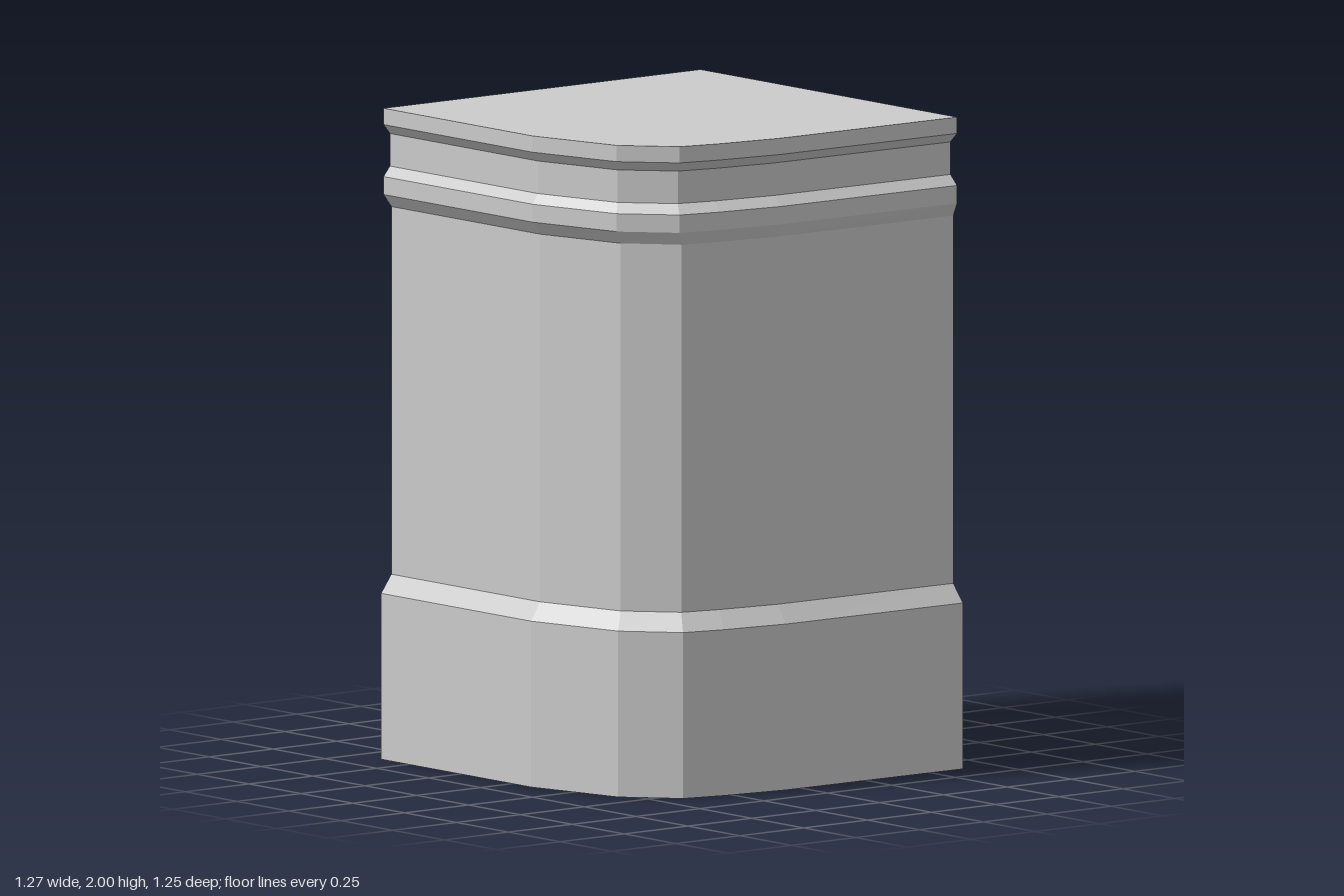
import * as THREE from 'three';

const LEFT = -0.633, BACK = -0.625;
// Footprint: two straight walls plus a faceted rounded corner, counter-clockwise from above
const FOOTPRINT = [
  [LEFT, BACK], [LEFT, 0.625], [0.09, 0.625], [0.412, 0.546],
  [0.56, 0.412], [0.592, 0.28], [0.623, 0.06], [0.632, BACK],
];

// A ring of the footprint at height y; only the moulded sides shrink, the cut sides stay flush
const ring = ([y, sx, sz]) => FOOTPRINT.map(([x, z]) => [
  x === LEFT ? x : x * sx, y, z === BACK ? z : z * sz,
]);

// Skin the rings given by [height, x scale, z scale], with optional end faces
function loft(name, material, levels, { bottom = false, top = false } = {}) {
  const n = FOOTPRINT.length;
  const index = [];
  for (let l = 0; l < levels.length - 1; l++) {
    for (let i = 0; i < n; i++) {
      const a = l * n + i, b = l * n + (i + 1) % n;
      index.push(a, b, b + n, a, b + n, a + n);
    }
  }
  const last = (levels.length - 1) * n;
  for (let i = 1; i < n - 1; i++) {
    if (bottom) index.push(0, i + 1, i);
    if (top) index.push(last, last + i, last + i + 1);
  }
  const indexed = new THREE.BufferGeometry();
  indexed.setAttribute('position', new THREE.Float32BufferAttribute(levels.flatMap(ring).flat(), 3));
  indexed.setIndex(index);
  const geometry = indexed.toNonIndexed();
  geometry.computeVertexNormals();
  const mesh = new THREE.Mesh(geometry, material);
  mesh.name = name;
  return mesh;
}

export function createModel() {
  const group = new THREE.Group();
  group.name = 'cornerPedestal';
  const stone = new THREE.MeshStandardMaterial({ color: 0xcccccc, flatShading: true });

  // Scales of the three recessed outlines
  const shaft = [0.927, 0.936], band = [0.956, 0.985], neck = [0.905, 0.945];

  group.add(
    // Plinth with a sloped upper edge
    loft('plinth', stone, [[0, 1, 1], [0.51, 1, 1], [0.565, ...shaft]], { bottom: true }),
    loft('shaft', stone, [[0.565, ...shaft], [1.695, ...shaft]]),
    // Projecting band with chamfers above and below
    loft('lowerMoulding', stone, [[1.695, ...shaft], [1.735, ...band], [1.79, ...band], [1.82, ...neck]]),
    loft('neck', stone, [[1.82, ...neck], [1.92, ...neck]]),
    // Flat top slab
    loft('cap', stone, [[1.92, ...neck], [1.95, ...band], [2, ...band]], { top: true }),
  );
  return group;
}
